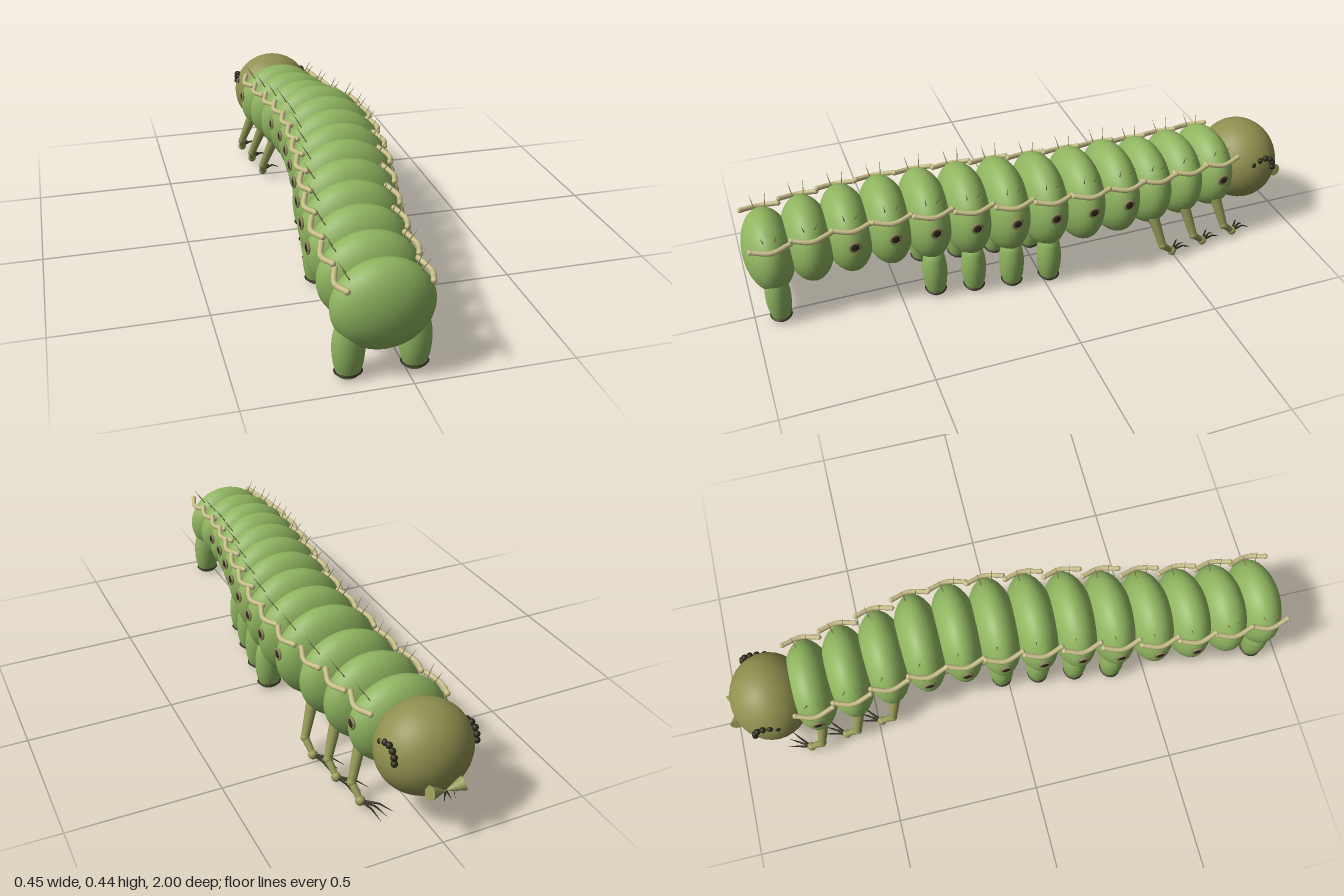
import * as THREE from 'three';

const mat = (name, color) => {
  const m = new THREE.MeshStandardMaterial({ color });
  m.name = name;
  return m;
};
const V = (x, y, z) => new THREE.Vector3(x, y, z);

export function createModel() {
  const green = mat('leaf green', 0x8fb45f);
  const olive = mat('head olive', 0x909050);
  const legOlive = mat('leg olive', 0x959a58);
  const tan = mat('ridge tan', 0xc6bd88);
  const hairTan = mat('hair tan', 0x8a8458);
  const dark = mat('dark brown', 0x2c2818);

  const root = new THREE.Group();
  root.name = 'caterpillar';
  const ball = new THREE.SphereGeometry(1, 32, 24);
  const smallBall = new THREE.SphereGeometry(1, 14, 10);

  const add = (parent, name, geo, material) => {
    const m = new THREE.Mesh(geo, material);
    m.name = name;
    parent.add(m);
    return m;
  };
  const ellipsoid = (parent, name, geo, material, p, rx, ry = rx, rz = rx) => {
    const m = add(parent, name, geo, material);
    m.position.copy(p);
    m.scale.set(rx, ry, rz);
    return m;
  };
  // tapered rod between two points
  const rod = (parent, name, material, a, b, ra, rb, sides = 12) => {
    const d = b.clone().sub(a);
    const m = add(parent, name, new THREE.CylinderGeometry(rb, ra, d.length(), sides), material);
    m.position.copy(a).addScaledVector(d, 0.5);
    m.quaternion.setFromUnitVectors(V(0, 1, 0), d.normalize());
    return m;
  };

  // body segments, tail (+z) to head (-z)
  const cx = [-0.07, -0.07, -0.063, -0.047, -0.024, 0, 0.02, 0.036, 0.045, 0.042, 0.026, 0.008, -0.008];
  const top = [0.368, 0.386, 0.403, 0.419, 0.432, 0.441, 0.445, 0.445, 0.444, 0.439, 0.416, 0.405, 0.395];
  const radius = [0.14, 0.144, 0.147, 0.15, 0.154, 0.158, 0.161, 0.162, 0.162, 0.161, 0.153, 0.15, 0.147];
  const prolegs = [0, 4, 5, 6, 7];
  const spiracles = [2, 3, 4, 5, 6, 7, 8, 9, 12];
  const trueLegs = [10, 11, 12];

  const prolegGeo = new THREE.LatheGeometry(
    new THREE.SplineCurve([
      [0.03, 0.008], [0.038, 0.025], [0.046, 0.06], [0.049, 0.1], [0.046, 0.14], [0.034, 0.18], [0.0001, 0.205],
    ].map(([x, y]) => new THREE.Vector2(x, y))).getPoints(20), 24);
  const footRing = new THREE.TorusGeometry(0.037, 0.006, 8, 28).rotateX(Math.PI / 2).scale(1, 0.55, 0.88);
  const footPad = new THREE.CircleGeometry(0.034, 24).rotateX(Math.PI / 2);
  const spiracleRing = new THREE.TorusGeometry(0.017, 0.005, 8, 24).rotateY(Math.PI / 2);

  cx.forEach((x0, i) => {
    const ry = radius[i], rx = ry + 0.016, cy = top[i] - ry;
    const seg = new THREE.Group();
    seg.name = `segment${i + 1}`;
    seg.position.set(x0, 0, 0.912 - 0.1335 * i);
    root.add(seg);
    ellipsoid(seg, 'segmentBody', ball, green, V(0, cy, 0), rx, ry, 0.088);

    for (const s of [1, -1]) {
      // pale side ridge with rounded ends
      const y = cy + ry * 0.6 - (ry - 0.14) * 0.6;
      const ends = [-0.064, 0.064].map((z) => V(s * (rx - 0.033), y + 0.008, z));
      const path = new THREE.CatmullRomCurve3([ends[0], V(s * (rx - 0.015), y, 0), ends[1]]);
      add(seg, 'sideRidge', new THREE.TubeGeometry(path, 16, 0.0085, 10), tan);
      for (const e of ends) ellipsoid(seg, 'ridgeEnd', smallBall, tan, e, 0.0095);

      // pair of bristles
      for (const t of [-1, 1]) {
        const base = V(s * rx * 0.66, cy + ry * 0.71, t * 0.018);
        const tip = base.clone().add(V(s * 0.026, 0.042, t * 0.008));
        rod(seg, 'bristle', hairTan, base, tip, 0.0022, 0.0003, 6);
      }

      // breathing holes
      if (spiracles.includes(i)) {
        const p = V(s * rx * 0.97, cy + 0.027, 0);
        const ring = add(seg, 'spiracleRing', spiracleRing, hairTan);
        ring.position.copy(p);
        ellipsoid(seg, 'spiracle', smallBall, dark, p, 0.007, 0.016, 0.016);
      }

      // plump prolegs with dark foot rings
      if (prolegs.includes(i)) {
        const leg = new THREE.Group();
        leg.name = 'proleg';
        leg.position.set(s * 0.1, 0, 0);
        seg.add(leg);
        add(leg, 'prolegBody', prolegGeo, green).scale.z = 0.88;
        add(leg, 'footRing', footRing, dark).position.y = 0.022;
        add(leg, 'footPad', footPad, green).position.y = 0.009;
      }

      // jointed front legs with claws
      if (trueLegs.includes(i)) {
        const leg = new THREE.Group();
        leg.name = 'frontLeg';
        seg.add(leg);
        const hip = V(s * 0.125, 0.18, 0.005), knee = V(s * 0.163, 0.07, -0.022), foot = V(s * 0.155, 0.028, -0.066);
        rod(leg, 'upperLeg', legOlive, hip, knee, 0.02, 0.014);
        ellipsoid(leg, 'knee', smallBall, legOlive, knee, 0.0155);
        rod(leg, 'lowerLeg', legOlive, knee, foot, 0.013, 0.01);
        ellipsoid(leg, 'foot', smallBall, legOlive, foot, 0.016);
        for (const k of [0, 1, 2]) {
          const mid = foot.clone().add(V(-s * (0.012 + 0.016 * k), 0.002, -0.05 + 0.006 * k));
          const tip = foot.clone().add(V(-s * (0.025 + 0.028 * k), -0.022, -0.088 + 0.012 * k));
          rod(leg, 'claw', dark, foot, mid, 0.0045, 0.003, 8);
          rod(leg, 'clawTip', dark, mid, tip, 0.003, 0.0004, 8);
        }
      }
    }
  });

  // head
  const head = new THREE.Group();
  head.name = 'head';
  head.position.set(-0.013, 0, 0);
  root.add(head);
  ellipsoid(head, 'skull', ball, olive, V(0, 0.243, -0.838), 0.154, 0.15, 0.138);
  const eyes = [[0.292, -0.825], [0.305, -0.85], [0.31, -0.873], [0.303, -0.893], [0.287, -0.904], [0.268, -0.907]];
  for (const s of [1, -1]) {
    for (const [y, z] of eyes) ellipsoid(head, 'eye', smallBall, dark, V(s * 0.137, y, z), 0.011);
    // mouthparts: cones meeting in the middle, with small dark feelers
    rod(head, 'mandible', legOlive, V(s * 0.056, 0.186, -0.977), V(s * 0.004, 0.173, -0.972), 0.023, 0.003, 16);
    rod(head, 'feeler', dark, V(s * 0.003, 0.172, -0.972), V(s * 0.012, 0.148, -0.988), 0.003, 0.0005, 8);
  }
  return root;
}
